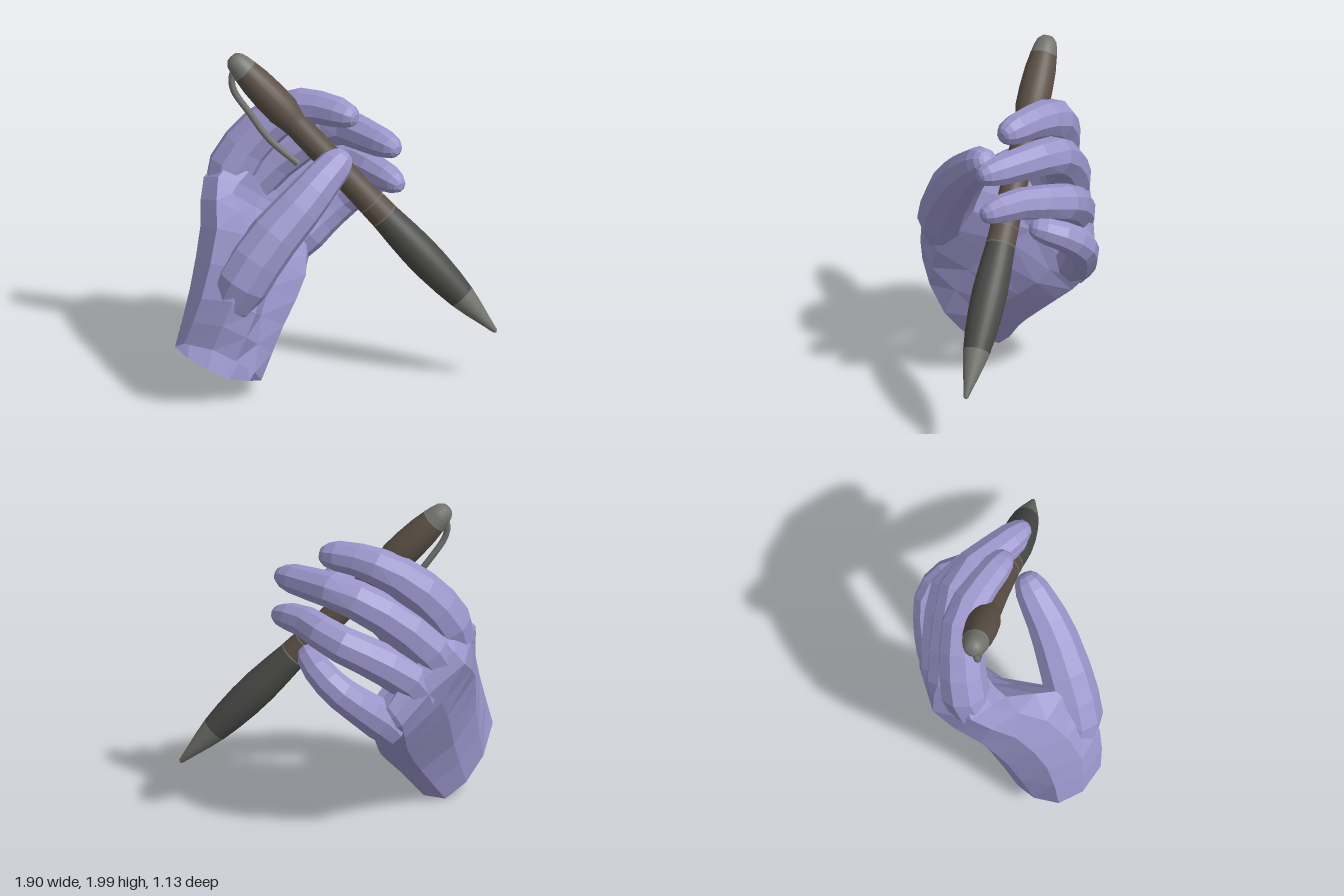
import * as THREE from 'three';

const V = (p) => new THREE.Vector3(...p);
const mat = (color) => new THREE.MeshStandardMaterial({ color });
const skin = new THREE.MeshStandardMaterial({ color: 0x9c96cc, flatShading: true, side: THREE.DoubleSide });

// Skin over a row of equal-sized loops, open at the first and closed at the last
function loft(loops) {
  const n = loops[0].length, pos = [], idx = [];
  loops.forEach((l) => l.forEach((p) => pos.push(p.x, p.y, p.z)));
  for (let i = 0; i < loops.length - 1; i++) for (let k = 0; k < n; k++) {
    const a = i * n + k, b = i * n + (k + 1) % n;
    idx.push(a, b, b + n, a, b + n, a + n);
  }
  const end = loops.length - 1, c = new THREE.Vector3();
  loops[end].forEach((p) => c.addScaledVector(p, 1 / n));
  pos.push(c.x, c.y, c.z);
  for (let k = 0; k < n; k++) idx.push(loops.length * n, end * n + k, end * n + (k + 1) % n);
  const g = new THREE.BufferGeometry();
  g.setAttribute('position', new THREE.Float32BufferAttribute(pos, 3));
  g.setIndex(idx);
  g.computeVertexNormals();
  return g;
}

function mesh(name, geometry, material) {
  const m = new THREE.Mesh(geometry, material);
  m.name = name;
  return m;
}

// Finger: joints are [x, y, z, radius]; the last joint is the end of the tip
function finger(name, joints, steps = 9, sides = 9) {
  const curve = new THREE.CatmullRomCurve3(joints.map((j) => V(j.slice(0, 3))), false, 'centripetal');
  const radius = (t) => {
    const f = t * (joints.length - 1), i = Math.min(Math.floor(f), joints.length - 2);
    return THREE.MathUtils.lerp(joints[i][3], joints[i + 1][3], f - i);
  };
  const stops = [];
  for (let i = 0; i < steps; i++) stops.push([0.9 * i / (steps - 1), 1]);
  stops.push([0.96, 0.84], [0.99, 0.58], [1, 0.3]);
  const side = V([0.25, 0.35, 0.9]);
  const loops = stops.map(([t, s]) => {
    const c = curve.getPoint(t), d = curve.getTangent(t);
    const u = side.clone().addScaledVector(d, -side.dot(d)).normalize();
    const v = d.clone().cross(u);
    side.copy(u);
    return Array.from({ length: sides }, (_, k) => {
      const a = k / sides * Math.PI * 2, r = radius(t) * s;
      return c.clone().addScaledVector(u, Math.cos(a) * r).addScaledVector(v, Math.sin(a) * r);
    });
  });
  return mesh(name, loft(loops), skin);
}

function buildPalm() {
  // Cross-sections from the open wrist to the finger webs:
  // thumb side, back, little-finger edge, palm
  const sections = [
    [[-.74, .42, .56], [-.9, .42, .46], [-.95, .34, .32], [-.87, .2, .17], [-.75, .08, .07],
      [-.62, .0, .03], [-.5, .01, .08], [-.44, .1, .28], [-.48, .2, .4], [-.6, .32, .5]],
    [[-.62, .72, .55], [-.8, .7, .45], [-.86, .68, .25], [-.8, .55, .02], [-.65, .4, -.1],
      [-.45, .26, -.13], [-.33, .25, -.1], [-.3, .35, .05], [-.44, .5, .25], [-.48, .6, .45]],
    [[-.5, 1.05, .35], [-.7, 1.06, .24], [-.79, 1.0, .06], [-.77, .85, -.15], [-.58, .68, -.3],
      [-.33, .5, -.35], [-.18, .46, -.3], [-.16, .57, -.18], [-.35, .74, .0], [-.42, .9, .24]],
    [[-.6, 1.18, .0], [-.68, 1.25, -.08], [-.76, 1.2, -.2], [-.66, 1.06, -.43], [-.46, .92, -.48],
      [-.27, .73, -.52], [-.12, .62, -.46], [-.15, .74, -.33], [-.32, .9, -.25], [-.46, 1.03, -.14]],
    [[-.5, 1.26, -.12], [-.58, 1.32, -.17], [-.64, 1.3, -.25], [-.53, 1.22, -.4], [-.34, 1.05, -.45],
      [-.19, .85, -.51], [-.06, .74, -.47], [-.1, .82, -.4], [-.24, .98, -.33], [-.38, 1.12, -.24]],
  ].map((s) => s.map(V).reverse());
  const columns = sections[0].map((_, k) => new THREE.CatmullRomCurve3(sections.map((s) => s[k])));
  const loops = [];
  for (let i = 0; i <= 8; i++) loops.push(columns.map((c) => c.getPoint(i / 8)));
  return mesh('palm', loft(loops), skin);
}

function buildPen() {
  const pen = new THREE.Group();
  pen.name = 'pen';
  const brown = mat(0x5c5046), dark = mat(0x4a4a48), grey = mat(0x74746f);
  const tip = V([.95, .31, .11]), top = V([-.6, 1.97, -.2]);
  const axis = top.clone().sub(tip).normalize();

  // Turned parts, as [radius, distance from the tip]
  const body = new THREE.Group();
  body.name = 'penBody';
  body.position.copy(tip);
  body.quaternion.setFromUnitVectors(V([0, 1, 0]), axis);
  const turned = (name, pts, m) => body.add(mesh(name,
    new THREE.LatheGeometry(pts.map((p) => new THREE.Vector2(...p)), 28), m));
  turned('penTip', [[0, 0], [.014, .01], [.035, .1], [.06, .2], [.08, .3]], grey);
  turned('grip', [[.08, .3], [.094, .42], [.103, .55], [.105, .68], [.098, .82], [.088, .96]], dark);
  turned('barrel', [[.088, .96], [.083, 1.15], [.078, 1.4], [.078, 1.72], [.086, 1.78],
    [.098, 1.84], [.099, 1.95], [.092, 2.08], [.079, 2.17]], brown);
  turned('endCap', [[.079, 2.17], [.07, 2.22], [.058, 2.26], [.035, 2.285], [0, 2.29]], grey);
  [[.97, .085], [1.08, .082], [2.17, .076]].forEach(([h, r]) => {
    const ring = mesh('trimRing', new THREE.TorusGeometry(r, .005, 6, 28), grey);
    ring.rotation.x = Math.PI / 2;
    ring.position.y = h;
    body.add(ring);
  });
  pen.add(body);

  // Bowed clip
  const clip = new THREE.CatmullRomCurve3([[-.54, 1.92, -.18], [-.59, 1.87, -.18], [-.59, 1.78, -.17],
    [-.49, 1.62, -.16], [-.38, 1.47, -.13], [-.21, 1.32, -.1]].map(V));
  pen.add(mesh('clip', new THREE.TubeGeometry(clip, 30, .02, 8), grey));
  return pen;
}

export function createModel() {
  const model = new THREE.Group();
  model.name = 'handHoldingPen';
  const hand = new THREE.Group();
  hand.name = 'hand';
  hand.add(
    buildPalm(),
    finger('thumb', [[-.67, .55, .38, .1], [-.57, .75, .41, .16], [-.42, .98, .36, .16],
      [-.18, 1.23, .25, .135], [-.06, 1.35, .17, .115], [.07, 1.46, .08, .09]]),
    finger('indexFinger', [[-.62, 1.05, -.18, .13], [-.6, 1.22, -.24, .15], [-.46, 1.43, -.27, .14],
      [-.25, 1.6, -.26, .12], [-.06, 1.65, -.15, .1], [.13, 1.64, -.01, .085]]),
    finger('middleFinger', [[-.55, .95, -.3, .12], [-.48, 1.1, -.33, .145], [-.25, 1.32, -.33, .13],
      [.02, 1.48, -.28, .115], [.2, 1.49, -.1, .1], [.37, 1.48, .1, .08]]),
    finger('ringFinger', [[-.42, .82, -.36, .11], [-.35, .95, -.38, .135], [-.12, 1.11, -.39, .12],
      [.1, 1.22, -.34, .11], [.24, 1.26, -.12, .095], [.39, 1.24, .08, .075]]),
    finger('littleFinger', [[-.24, .64, -.4, .1], [-.16, .73, -.42, .125], [-.02, .85, -.46, .11],
      [.11, .96, -.46, .1], [.21, 1.06, -.36, .088], [.25, 1.12, -.19, .07]]),
  );
  model.add(hand, buildPen());
  return model;
}
